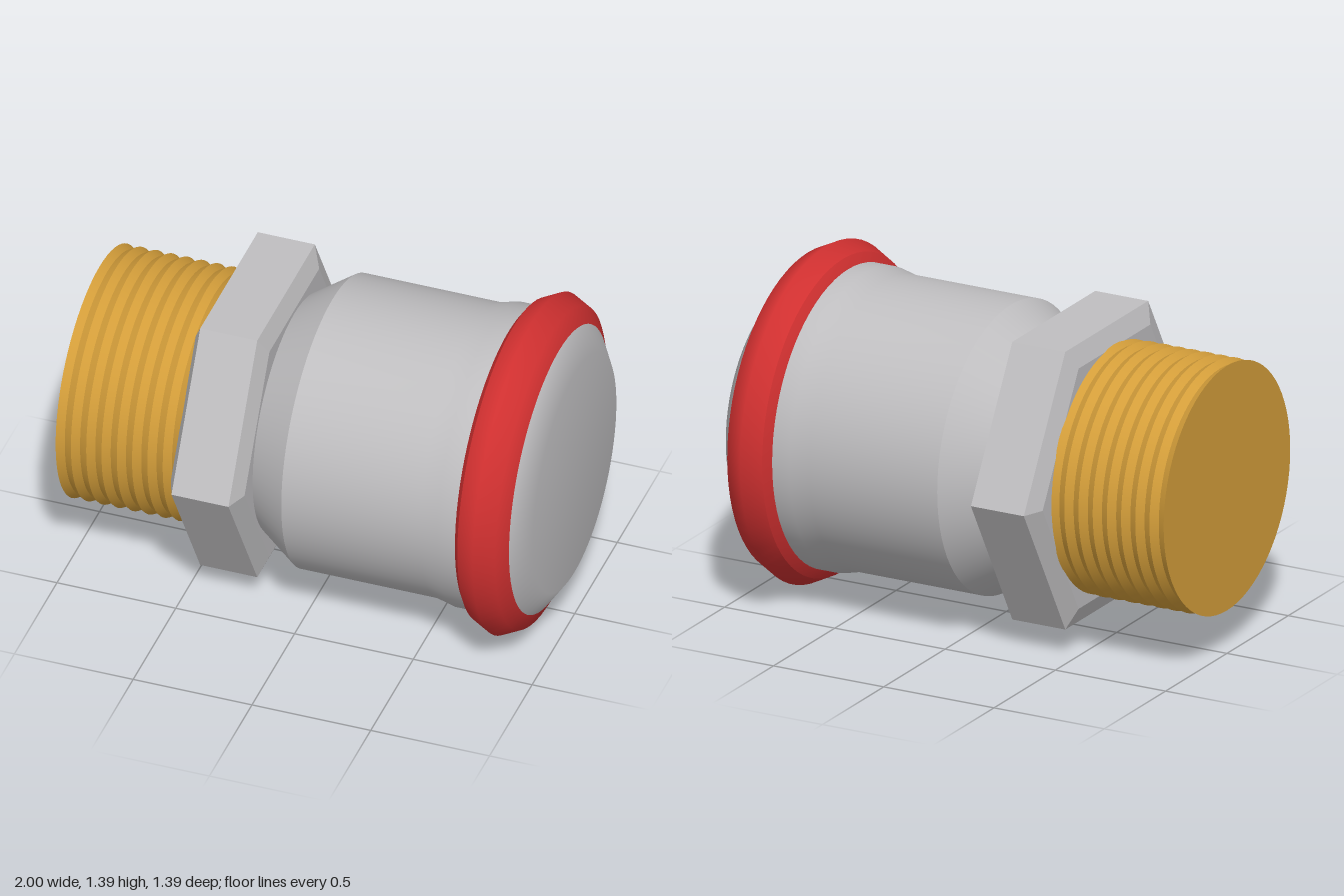
import * as THREE from 'three';
import { mergeGeometries } from 'three/addons/utils/BufferGeometryUtils.js';

const AXIS_Y = 0.697;

// Turns runs of [x, radius] points about the x axis; each run is smooth, with a crease between runs.
function turned(name, material, runs, sides = 72, faceted = false) {
  const parts = runs.map((run) =>
    new THREE.LatheGeometry(run.map(([x, r]) => new THREE.Vector2(r, x)), sides));
  let geometry = mergeGeometries(parts);
  if (faceted) {
    geometry = geometry.toNonIndexed();
    geometry.computeVertexNormals();
  }
  geometry.rotateZ(-Math.PI / 2);
  const mesh = new THREE.Mesh(geometry, material);
  mesh.name = name;
  mesh.position.y = AXIS_Y;
  return mesh;
}

// Splits a profile into single segments so every corner is sharp.
const sharp = (points) => points.slice(1).map((p, i) => [points[i], p]);

export function createModel() {
  const steel = new THREE.MeshStandardMaterial({ color: 0xbfbec0 });
  steel.name = 'steel grey';
  const brass = new THREE.MeshStandardMaterial({ color: 0xd49e3a });
  brass.name = 'brass';
  const red = new THREE.MeshStandardMaterial({ color: 0xd03030 });
  red.name = 'red';

  const group = new THREE.Group();
  group.name = 'pipeFitting';

  // Threaded stub: closed end and eight V-shaped ridges
  const ridges = 8, start = -1, end = -0.485;
  const thread = [[start, 0]];
  for (let i = 0; i <= ridges * 2; i++) {
    thread.push([start + (end - start) * i / (ridges * 2), i % 2 ? 0.498 : 0.516]);
  }
  group.add(turned('threadedStub', brass, sharp(thread)));

  // Hexagonal nut with chamfered ends, corners towards front and back
  const nut = [[-0.49, 0], [-0.49, 0.585], [-0.455, 0.676], [-0.215, 0.676], [-0.18, 0.585], [-0.18, 0]];
  group.add(turned('hexNut', steel, sharp(nut), 6, true));

  // Socket body: cone, barrel and slight flare under the ring
  group.add(turned('socketBody', steel, [
    [[-0.18, 0.49], [-0.02, 0.6]],
    [[-0.02, 0.6], [0.56, 0.6], [0.64, 0.619], [0.73, 0.619]],
  ]));

  // Bulged coloured ring
  group.add(turned('sealRing', red, [
    [[0.715, 0.61], [0.72, 0.625], [0.742, 0.658]],
    [[0.742, 0.658], [0.82, 0.697], [0.9, 0.658], [0.935, 0.59]],
  ]));

  // Softly rounded closed end
  group.add(turned('endCap', steel, [[[0.935, 0.59], [1, 0.49], [1, 0]]]));

  return group;
}
